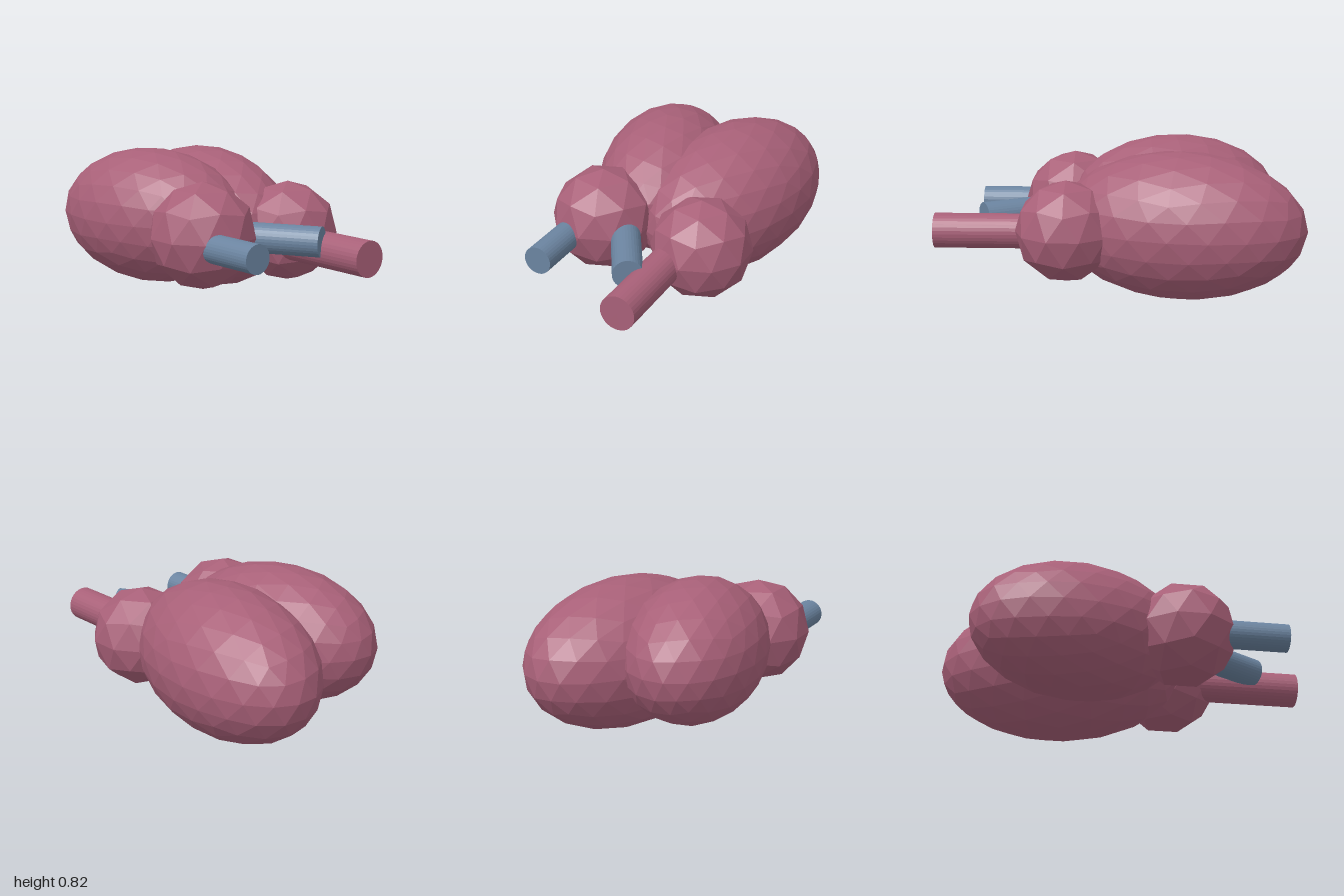
import * as THREE from 'three';

const rosy = new THREE.MeshStandardMaterial({ color: 0xa86078, flatShading: true });
rosy.name = 'rosyMuscle';
const blue = new THREE.MeshStandardMaterial({ color: 0x6b84a0, flatShading: true });
blue.name = 'blueVessel';

// Faceted ellipsoid with a corner at each vertical pole, turned about y
function lobe(name, center, radii, detail, turn = 0) {
  const geometry = new THREE.IcosahedronGeometry(1, detail);
  geometry.rotateZ(-Math.atan(2 / (1 + Math.sqrt(5))));
  geometry.scale(...radii);
  const mesh = new THREE.Mesh(geometry, rosy);
  mesh.name = name;
  mesh.position.set(...center);
  mesh.rotation.y = THREE.MathUtils.degToRad(turn);
  return mesh;
}

// Straight capped pipe between two points
function vessel(name, start, end, radius, material) {
  const a = new THREE.Vector3(...start);
  const b = new THREE.Vector3(...end);
  const geometry = new THREE.CylinderGeometry(radius, radius, a.distanceTo(b), 32);
  const mesh = new THREE.Mesh(geometry, material);
  mesh.name = name;
  mesh.position.copy(a).lerp(b, 0.5);
  mesh.quaternion.setFromUnitVectors(new THREE.Vector3(0, 1, 0), b.sub(a).normalize());
  return mesh;
}

export function createModel() {
  const group = new THREE.Group();
  group.name = 'heart';
  group.add(
    // Two large chambers, splayed apart towards the back
    lobe('leftVentricle', [0.185, 0.4, -0.335], [0.4, 0.4, 0.68], 3, -11),
    lobe('rightVentricle', [-0.215, 0.45, -0.3], [0.373, 0.373, 0.59], 3, 11),
    // Two small chambers at the front
    lobe('leftAtrium', [0.275, 0.385, 0.275], [0.275, 0.275, 0.275], 1),
    lobe('rightAtrium', [-0.313, 0.425, 0.265], [0.285, 0.285, 0.285], 1),
    // Vessels
    vessel('aorta', [0.165, 0.355, 0.2], [0.165, 0.355, 1], 0.095, rosy),
    vessel('veinTrunk', [-0.408, 0.4, 0.3], [-0.408, 0.4, 0.805], 0.076, blue),
    vessel('crossingArtery', [-0.215, 0.413, 0.22], [0.085, 0.413, 0.74], 0.08, blue),
  );
  return group;
}
